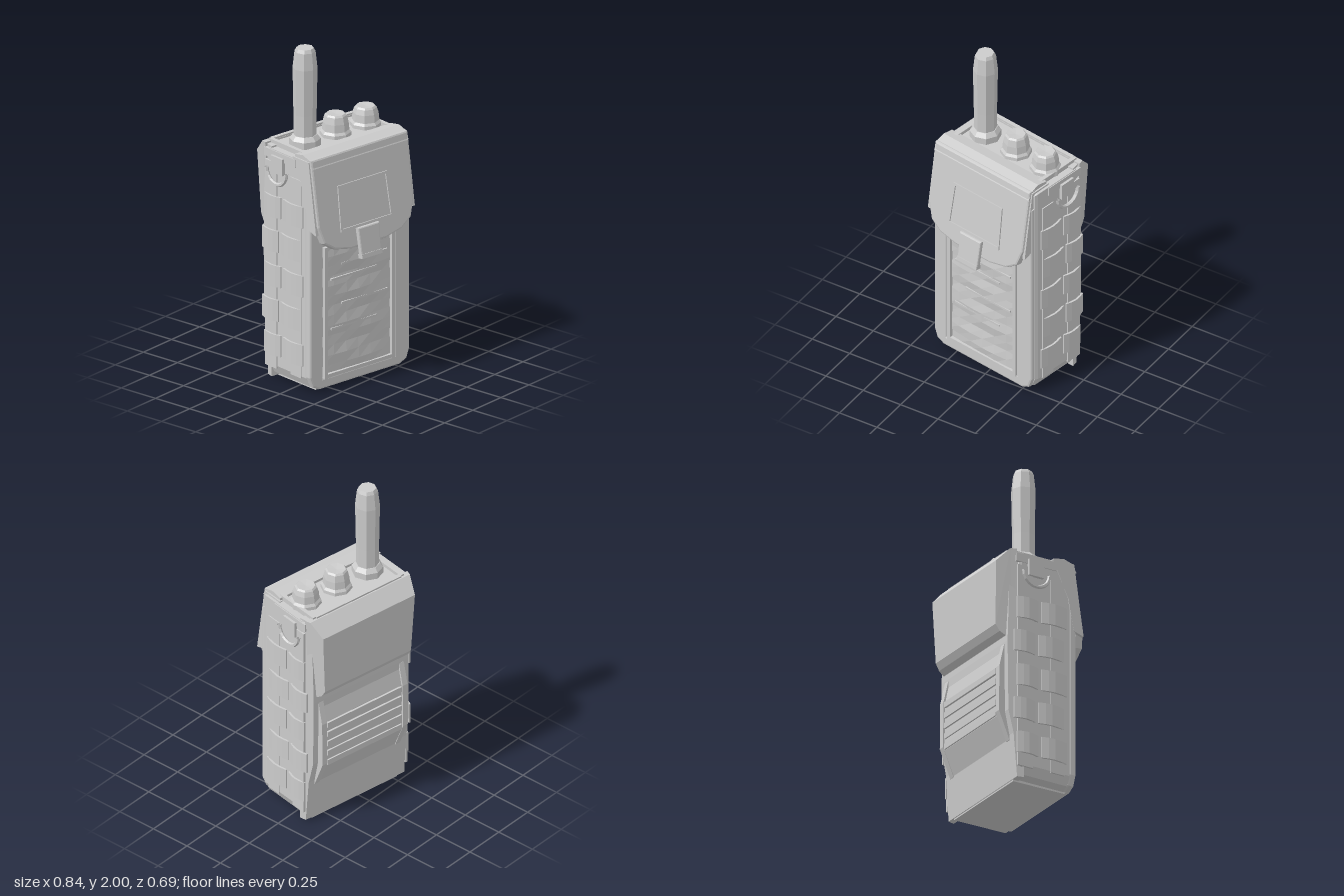
import * as THREE from 'three';

const mat = new THREE.MeshStandardMaterial({ color: 0xcccccc, flatShading: true, side: THREE.DoubleSide });

export function createModel() {
  const root = new THREE.Group();
  const radio = new THREE.Group();
  radio.name = 'radioInPouch';
  radio.rotation.y = -0.17; // turned slightly on its base
  root.add(radio);

  const add = (name, geo, x = 0, y = 0, z = 0, parent = radio) => {
    const m = new THREE.Mesh(geo, mat);
    m.name = name;
    m.position.set(x, y, z);
    parent.add(m);
    return m;
  };
  const box = (name, w, h, d, x, y, z, parent) => add(name, new THREE.BoxGeometry(w, h, d), x, y, z, parent);
  const poly = (pts) => new THREE.Shape(pts.map((p) => new THREE.Vector2(p[0], p[1])));
  const mirrored = (half) => poly([...half, ...half.slice().reverse().map(([x, y]) => [-x, y])]);
  // Front outline pushed from z0 to z1 with a bevelled rim
  const plate = (shape, z0, z1, b = 0) => {
    const g = new THREE.ExtrudeGeometry(shape, {
      depth: z1 - z0 - 2 * b, bevelEnabled: b > 0, bevelSize: b, bevelThickness: b, bevelOffset: -b, bevelSegments: 2,
    });
    return g.translate(0, 0, z0 + b);
  };
  // Side outline of [z, y] points stretched across the width; it can narrow
  // toward the bottom and toward the back
  const across = (pts, width, narrowDown = 0, narrowBack = 0) => {
    const g = new THREE.ExtrudeGeometry(poly(pts.map(([z, y]) => [-z, y])), { depth: width, bevelEnabled: false });
    g.translate(0, 0, -width / 2).rotateY(Math.PI / 2);
    g.computeBoundingBox();
    const { min, max } = g.boundingBox;
    const p = g.attributes.position;
    for (let i = 0; i < p.count; i++) {
      const down = (max.y - p.getY(i)) / (max.y - min.y);
      const back = (max.z - p.getZ(i)) / (max.z - min.z);
      p.setX(i, p.getX(i) * (1 - narrowDown * down) * (1 - narrowBack * back));
    }
    g.computeVertexNormals();
    return g;
  };

  // Pouch body with rounded lower corners
  const outline = [[0.3, 0.01], [0.35, 0.035], [0.375, 0.09], [0.375, 1.4]];
  add('pouchBody', plate(mirrored(outline), -0.17, 0.195, 0.025));
  add('bottomPad', across([[-0.165, 0.04], [-0.165, 0], [0.18, 0.005], [0.2, 0.04]], 0.62));
  // Back wall swells out above the base
  add('backWall', across([[-0.13, 0.01], [-0.17, 0.01], [-0.19, 0.28], [-0.22, 0.42], [-0.225, 0.85], [-0.21, 1.41], [-0.13, 1.41]], 0.74, 0.0, 0.06));

  // Front frame around the sunken panel
  const frame = mirrored([[0.3, 0.015], [0.35, 0.04], [0.372, 0.1], [0.372, 1.3]]);
  frame.holes.push(poly([[-0.275, 0.08], [-0.275, 1.2], [0.255, 1.2], [0.255, 0.08]]));
  add('frontFrame', plate(frame, 0.17, 0.215, 0.012), -0.006);
  // Front panel: gently crumpled cloth
  const cloth = new THREE.PlaneGeometry(0.54, 0.84, 6, 14);
  const cp = cloth.attributes.position;
  for (let i = 0; i < cp.count; i++) {
    const x = cp.getX(i), y = cp.getY(i);
    const bulge = 1 - (x / 0.27) ** 2;
    cp.setZ(i, bulge * (0.012 + 0.007 * Math.sin(y * 32 + x * 9)));
  }
  cloth.computeVertexNormals();
  add('frontPanel', cloth, -0.015, 0.5, 0.199);
  for (const s of [-1, 1]) box('panelPiping', 0.022, 0.8, 0.022, s * 0.25 - 0.012, 0.47, 0.21);
  box('panelPiping', 0.5, 0.022, 0.022, -0.012, 0.085, 0.21);
  [0.36, 0.5, 0.66, 0.74].forEach((y, i) => box('frontFold', 0.34, 0.012, 0.016, i % 2 ? 0.03 : -0.05, y, 0.206));

  // Flap folds over the top edge and leans out toward its lower end
  const flap = new THREE.Group();
  flap.name = 'flap';
  flap.position.x = -0.01;
  radio.add(flap);
  add('flapTop', across([[0.07, 1.38], [0.07, 1.425], [0.14, 1.437], [0.195, 1.42], [0.222, 1.37], [0.18, 1.35]], 0.72), 0, 0, 0, flap);
  const front = new THREE.Group();
  front.name = 'flapFront';
  front.position.set(0, 1.42, 0.19);
  front.rotation.x = -0.15;
  flap.add(front);
  const flapHalf = [[0.13, -0.575], [0.25, -0.55], [0.325, -0.5], [0.357, -0.4], [0.362, 0]];
  add('flapSheet', plate(mirrored(flapHalf), -0.03, 0.022, 0.012), 0, 0, 0, front);
  const badge = mirrored([[0.195, -0.46], [0.185, -0.19]]);
  badge.holes.push(mirrored([[0.18, -0.445], [0.17, -0.205]]));
  add('patchBorder', plate(badge, 0.018, 0.03), -0.005, 0, 0, front);
  // Closing tab hanging from the flap
  add('closingTab', plate(mirrored([[0.075, -0.63], [0.08, -0.46]]), 0.02, 0.048, 0.008), -0.01, 0, 0, front);
  box('tabEnd', 0.15, 0.025, 0.035, -0.01, -0.63, 0.035, front);
  for (const s of [-1, 1]) {
    add('flapSide', across([[0.06, 1.41], [0.2, 1.41], [0.265, 0.98], [0.2, 1.0], [0.16, 1.2]], 0.018), s * 0.36, 0, 0, flap);
  }

  // Top deck with raised rim
  box('topDeck', 0.64, 0.03, 0.32, 0, 1.395, -0.04);
  for (const s of [-1, 1]) {
    box('topRimSide', 0.025, 0.05, 0.3, s * 0.32, 1.405, -0.05);
    box('topRimOuter', 0.025, 0.05, 0.27, s * 0.368, 1.37, -0.05);
  }
  box('topRimBack', 0.62, 0.05, 0.025, 0, 1.405, -0.195);

  // Padded cover across the upper back, chamfered at its sides
  add('backCover', across([[-0.18, 1.42], [-0.215, 1.42], [-0.295, 1.335], [-0.285, 0.95], [-0.26, 0.91], [-0.18, 0.86]], 0.75, 0.1, 0.09));
  // Ribbed clip panel on the lower back
  add('backPanel', across([[-0.16, 0.83], [-0.22, 0.82], [-0.245, 0.7], [-0.25, 0.4], [-0.185, 0.25], [-0.16, 0.24]], 0.58));
  for (let i = 0; i < 5; i++) box('backRib', 0.54, 0.035, 0.02, 0, 0.42 + i * 0.065, -0.248);
  for (const s of [-1, 1]) {
    add('backPanelEdge', across([[-0.16, 0.86], [-0.225, 0.84], [-0.257, 0.7], [-0.26, 0.42], [-0.19, 0.25], [-0.16, 0.24]], 0.035), s * 0.295);
  }

  // Webbing and ring on each side
  for (const s of [-1, 1]) {
    const side = new THREE.Group();
    side.name = s > 0 ? 'leftWebbing' : 'rightWebbing';
    side.scale.x = s;
    radio.add(side);
    box('verticalStrap', 0.014, 1.25, 0.1, 0.374, 0.7, -0.125, side);
    box('verticalStrap', 0.014, 1.2, 0.09, 0.374, 0.68, 0.09, side);
    // Each loop bows outward between its stitched ends
    [0.22, 0.43, 0.64, 0.85, 1.06].forEach((y, i) => {
      const z0 = i % 2 ? -0.2 : -0.18;
      for (const [z, w] of [[z0 + 0.07, 0.14], [z0 + 0.245, 0.17]]) {
        const loop = new THREE.BoxGeometry(0.012, 0.13, w, 1, 1, 4);
        const p = loop.attributes.position;
        for (let k = 0; k < p.count; k++) p.setX(k, p.getX(k) + 0.016 * Math.cos(p.getZ(k) / w * Math.PI));
        loop.computeVertexNormals();
        add('webbingLoop', loop, 0.376, y, z, side);
      }
    });
    const ring = add('carryRing', new THREE.TorusGeometry(0.085, 0.012, 6, 10, Math.PI), 0.395, 1.29, -0.06, side);
    ring.rotation.set(Math.PI, Math.PI / 2, 0);
    box('ringStrap', 0.025, 0.1, 0.1, 0.383, 1.32, -0.06, side);
  }

  // Antenna and control knobs, eight sided
  const turned = (name, pts, x, z) =>
    add(name, new THREE.LatheGeometry(pts.map(([r, y]) => new THREE.Vector2(r, y)), 8), x, 0, z);
  turned('antennaBase', [[0.09, 1.4], [0.09, 1.45], [0.07, 1.475], [0, 1.475]], -0.207, -0.03);
  turned('antenna', [[0.066, 1.46], [0.066, 1.6], [0.071, 1.88], [0.06, 1.98], [0.05, 2], [0, 2]], -0.207, -0.03);
  [[0.024, 1.54], [0.248, 1.53]].forEach(([x, top]) => {
    turned('knobCollar', [[0.092, 1.4], [0.09, 1.43], [0.078, 1.445], [0, 1.445]], x, -0.033);
    turned('knob', [[0.08, 1.43], [0.074, 1.49], [0.064, top - 0.01], [0.055, top], [0, top - 0.005]], x, -0.033);
  });
  return root;
}
